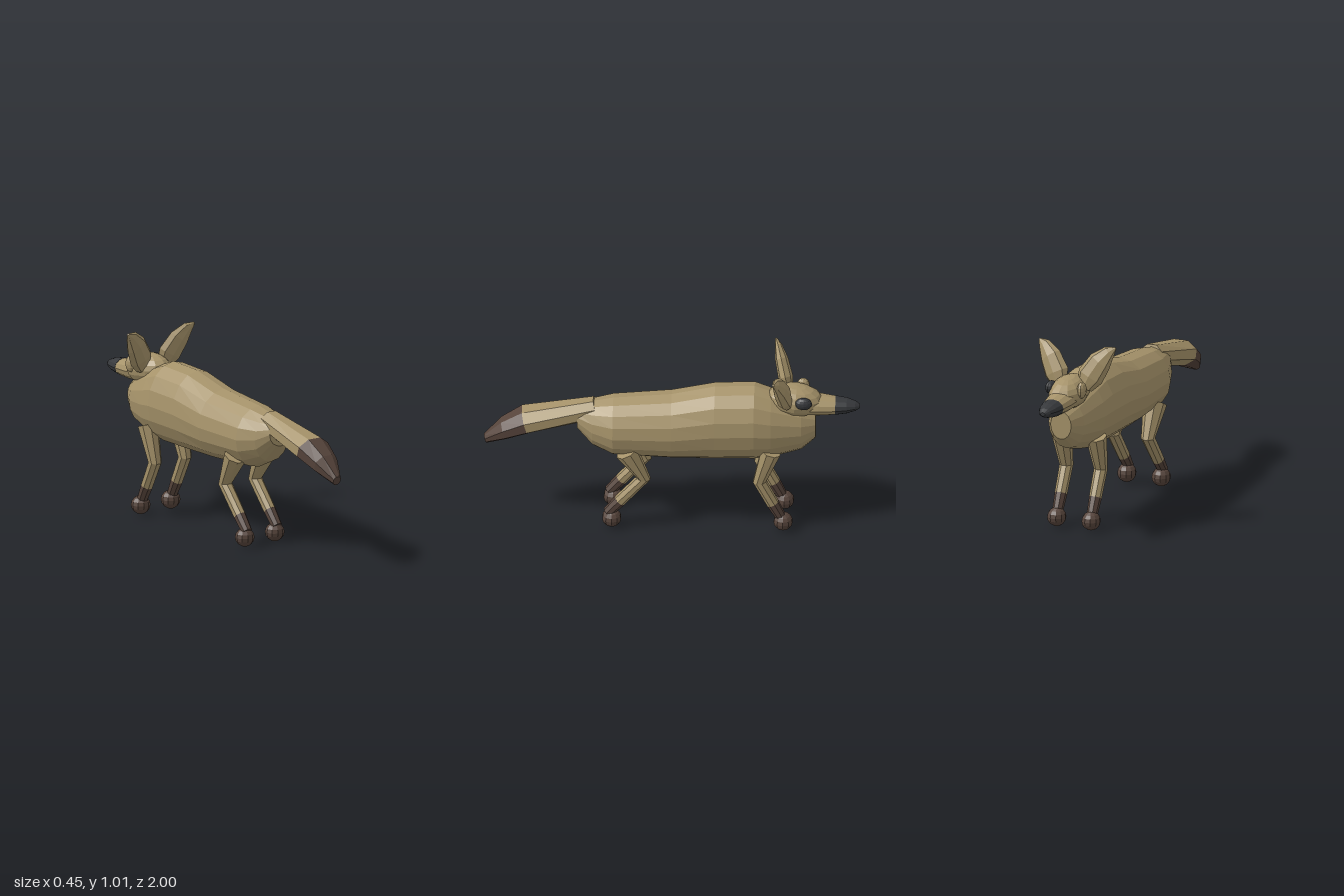
import * as THREE from 'three';

const mat = (name, color) => {
  const m = new THREE.MeshStandardMaterial({ color });
  m.name = name;
  return m;
};

// Faceted normals for the low-poly look
function facet(geo) {
  const g = geo.index ? geo.toNonIndexed() : geo;
  g.computeVertexNormals();
  return g;
}

// Capped loft through sections [x, y, z, ru, rv]; hint is the direction of ru
function loft(sections, sides, { hint = [1, 0, 0], dir = null, turn = 0 } = {}) {
  const pos = [], idx = [];
  const c = sections.map((s) => new THREE.Vector3(s[0], s[1], s[2]));
  const last = c.length - 1;
  const step = (a, b) => c[b].clone().sub(c[a]).normalize();
  sections.forEach((s, k) => {
    const d = new THREE.Vector3();
    if (dir) d.set(...dir);
    else {
      if (k > 0) d.add(step(k - 1, k));
      if (k < last) d.add(step(k, k + 1));
    }
    d.normalize();
    const v = d.clone().cross(new THREE.Vector3(...hint)).normalize();
    const u = v.clone().cross(d);
    for (let i = 0; i < sides; i++) {
      const a = ((i + turn) / sides) * Math.PI * 2;
      const p = c[k].clone().addScaledVector(u, Math.cos(a) * s[3]).addScaledVector(v, Math.sin(a) * s[4]);
      pos.push(p.x, p.y, p.z);
    }
  });
  for (let k = 0; k < last; k++) {
    for (let i = 0; i < sides; i++) {
      const a = k * sides + i, b = k * sides + ((i + 1) % sides);
      idx.push(a, b, b + sides, a, b + sides, a + sides);
    }
  }
  const e = last * sides;
  for (let i = 1; i < sides - 1; i++) idx.push(0, i + 1, i, e, e + i, e + i + 1);
  const g = new THREE.BufferGeometry();
  g.setAttribute('position', new THREE.Float32BufferAttribute(pos, 3));
  g.setIndex(idx);
  return facet(g);
}

export function createModel() {
  const root = new THREE.Group();
  root.name = 'canine';
  const tan = mat('tan fur', 0xa6936a);
  const brown = mat('dark brown fur', 0x56443b);
  const black = mat('charcoal', 0x36383b);

  const add = (name, geo, material, parent = root) => {
    const m = new THREE.Mesh(geo, material);
    m.name = name;
    parent.add(m);
    return m;
  };
  const ball = (name, [x, y, z], [rx, ry, rz], material, w, h, parent = root) => {
    const g = new THREE.SphereGeometry(1, w, h).scale(rx, ry, rz);
    const m = add(name, facet(g), material, parent);
    m.position.set(x, y, z);
    return m;
  };

  // Body, from chest to rump
  add('body', loft([
    [0, 0.612, -0.765, 0.06, 0.077],
    [0, 0.603, -0.69, 0.105, 0.137],
    [0, 0.618, -0.53, 0.155, 0.198],
    [0, 0.63, -0.44, 0.17, 0.22],
    [0, 0.623, -0.23, 0.17, 0.217],
    [0, 0.596, 0, 0.17, 0.189],
    [0, 0.587, 0.31, 0.157, 0.167],
    [0, 0.6, 0.42, 0.115, 0.13],
    [0, 0.64, 0.5, 0.075, 0.07],
  ], 16, { dir: [0, 0, 1] }), tan);

  // Tail with a dark tip
  add('tail', loft([
    [0, 0.69, 0.4, 0.068, 0.06],
    [0, 0.605, 0.775, 0.105, 0.072],
  ], 8, { turn: 0.5, dir: [0, -0.3, 0.95] }), tan);
  add('tailTip', loft([
    [0, 0.605, 0.775, 0.105, 0.072],
    [0, 0.545, 0.89, 0.078, 0.058],
    [0, 0.475, 0.99, 0.026, 0.026],
  ], 8, { turn: 0.5, dir: [0, -0.3, 0.95] }), brown);

  // Head, snout and nose
  const head = new THREE.Group();
  head.name = 'head';
  root.add(head);
  ball('skull', [0, 0.77, -0.655], [0.1, 0.086, 0.155], tan, 12, 10, head).rotation.x = -0.12;
  add('snout', loft([
    [0, 0.737, -0.87, 0.062, 0.046],
    [0, 0.742, -0.78, 0.076, 0.055],
    [0, 0.75, -0.68, 0.085, 0.06],
  ], 12, { dir: [0, 0, 1] }), tan, head);
  add('nose', loft([
    [0, 0.735, -1, 0.014, 0.01],
    [0, 0.736, -0.975, 0.034, 0.025],
    [0, 0.737, -0.93, 0.052, 0.039],
    [0, 0.737, -0.87, 0.063, 0.047],
  ], 12, { dir: [0, 0, 1] }), black, head);

  // One open eye, one closed lid
  ball('leftEye', [0.085, 0.798, -0.703], [0.027, 0.035, 0.046], black, 12, 8, head);
  ball('rightEyelid', [-0.09, 0.798, -0.695], [0.024, 0.045, 0.036], tan, 10, 8, head);

  // Ears
  for (const s of [1, -1]) {
    add(s > 0 ? 'leftEar' : 'rightEar', loft([
      [s * 0.07, 0.79, -0.615, 0.045, 0.03],
      [s * 0.097, 0.85, -0.6, 0.073, 0.04],
      [s * 0.144, 0.93, -0.578, 0.064, 0.035],
      [s * 0.188, 0.983, -0.56, 0.037, 0.02],
      [s * 0.221, 1.007, -0.546, 0.006, 0.006],
    ], 8, { hint: [0.84, -0.53 * s, 0] }), tan, head);
  }

  // Legs: hip, knee, sock top, ankle and paw as [y, z, radius]
  const legs = {
    front: { hip: [0.5, -0.53, 0.057], knee: [0.305, -0.47, 0.037], sock: [0.165, -0.54, 0.034], ankle: [0.08, -0.583, 0.029], paw: -0.595 },
    rear: { hip: [0.48, 0.235, 0.064], knee: [0.31, 0.145, 0.038], sock: [0.16, 0.272, 0.034], ankle: [0.085, 0.335, 0.029], paw: 0.315 },
  };
  for (const [end, l] of Object.entries(legs)) {
    for (const s of [1, -1]) {
      const leg = new THREE.Group();
      leg.name = `${end}Leg${s > 0 ? 'Left' : 'Right'}`;
      root.add(leg);
      const x = s * 0.1;
      const sec = ([y, z, r]) => [x, y, z, r, r];
      add('limb', loft([l.hip, l.knee, l.sock].map(sec), 8, { turn: 0.5 }), tan, leg);
      add('sock', loft([l.sock, l.ankle].map(sec), 8, { turn: 0.5 }), brown, leg);
      ball('paw', [x, 0.051, l.paw], [0.052, 0.051, 0.052], brown, 10, 8, leg);
    }
  }
  return root;
}
